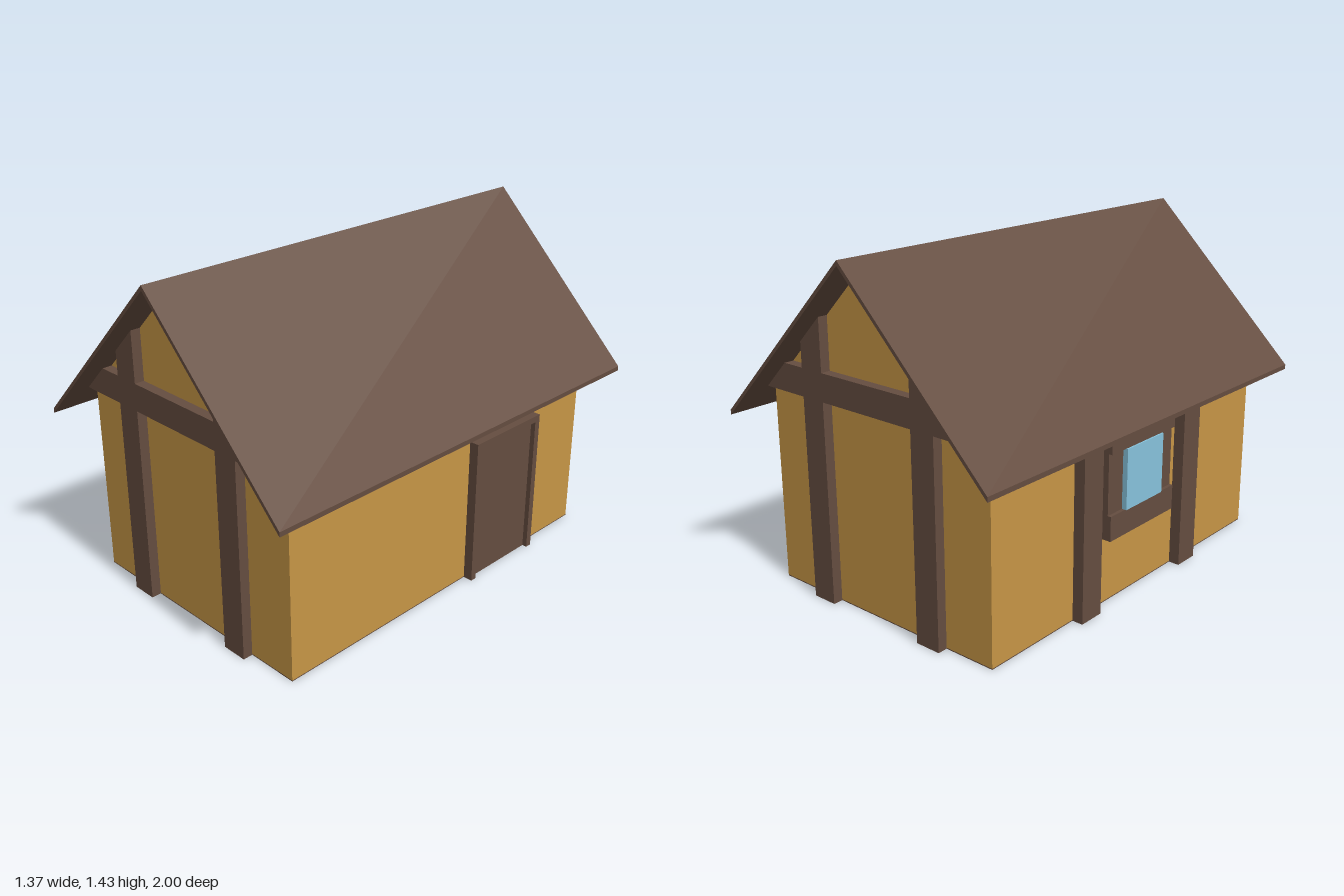
import * as THREE from 'three';

const W = 0.572, L = 0.86;         // half width and half length of the walls
const PEAK = 1.407, SLAB = 0.02;   // underside of the ridge, vertical roof thickness
const EAVE = 0.685;
const under = (x) => PEAK - Math.abs(x);

export function createModel() {
  const model = new THREE.Group();
  const material = (name, color) => {
    const m = new THREE.MeshStandardMaterial({ color });
    m.name = name;
    return m;
  };
  const plaster = material('ochre plaster', 0xc79646);
  const timber = material('brown timber', 0x654d40);
  const glass = material('blue glass', 0x87c3dd);

  const add = (name, geometry, mat, parent = model) => {
    const mesh = new THREE.Mesh(geometry, mat);
    mesh.name = name;
    parent.add(mesh);
    return mesh;
  };
  // Extrude an outline in x and y from z0 to z1
  const prism = (points, z0, z1) => {
    const shape = new THREE.Shape(points.map(([x, y]) => new THREE.Vector2(x, y)));
    return new THREE.ExtrudeGeometry(shape, { depth: z1 - z0, bevelEnabled: false }).translate(0, 0, z0);
  };
  // Box given by its limits on each axis
  const box = (x0, x1, y0, y1, z0, z1) =>
    new THREE.BoxGeometry(x1 - x0, y1 - y0, z1 - z0)
      .translate((x0 + x1) / 2, (y0 + y1) / 2, (z0 + z1) / 2);

  // Walls with both gables, standing on a thin timber floor
  const base = 0.004;
  add('floor', box(-W, W, 0, base, -L, L), timber);
  add('walls', prism([[-W, base], [W, base], [W, under(W)], [0, PEAK], [-W, under(W)]], -L, L), plaster);

  // Thin pitched roof
  add('roof', prism([
    [-EAVE, under(EAVE)], [0, PEAK], [EAVE, under(EAVE)],
    [EAVE, under(EAVE) + SLAB], [0, PEAK + SLAB], [-EAVE, under(EAVE) + SLAB],
  ], -1, 1), timber);

  // Timber frame on each gable, cut to the roof slope
  for (const [end, turn] of [['front', 0], ['back', Math.PI]]) {
    const frame = new THREE.Group();
    frame.name = end + 'GableTimbers';
    frame.rotation.y = turn;
    model.add(frame);
    for (const s of [-1, 1]) {
      const a = s < 0 ? -0.346 : 0.234, b = s < 0 ? -0.234 : 0.346;
      add('gablePost', prism([[a, 0], [b, 0], [b, under(b)], [a, under(a)]], L, 0.902), timber, frame);
    }
    const low = 0.843, high = 0.958;
    add('crossBeam', prism([
      [low - PEAK, low], [PEAK - low, low], [PEAK - high, high], [high - PEAK, high],
    ], L, 0.902), timber, frame);
  }

  // Posts on the window side
  for (const z of [-0.338, 0.334]) {
    add('sidePost', box(-0.62, -W, 0, 0.803, z - 0.058, z + 0.058), timber);
  }

  // Window: backing board, projecting sill and lintel, raised pane
  const win = new THREE.Group();
  win.name = 'window';
  model.add(win);
  add('windowBoard', box(-0.597, -W, 0.385, 0.64, -0.215, 0.215), timber, win);
  add('windowSill', box(-0.612, -W, 0.28, 0.385, -0.215, 0.215), timber, win);
  add('windowLintel', box(-0.612, -W, 0.64, 0.74, -0.215, 0.215), timber, win);
  add('windowPane', box(-0.619, -0.59, 0.385, 0.64, -0.122, 0.122), glass, win);

  // Door: jambs, lintel and a recessed panel
  const door = new THREE.Group();
  door.name = 'door';
  model.add(door);
  add('doorJamb', box(W, 0.613, 0, 0.61, -0.15, -0.122), timber, door);
  add('doorJamb', box(W, 0.613, 0, 0.61, -0.532, -0.504), timber, door);
  add('doorLintel', box(W, 0.613, 0.61, 0.638, -0.532, -0.122), timber, door);
  add('doorPanel', box(W, 0.592, 0, 0.61, -0.504, -0.15), timber, door);

  return model;
}
